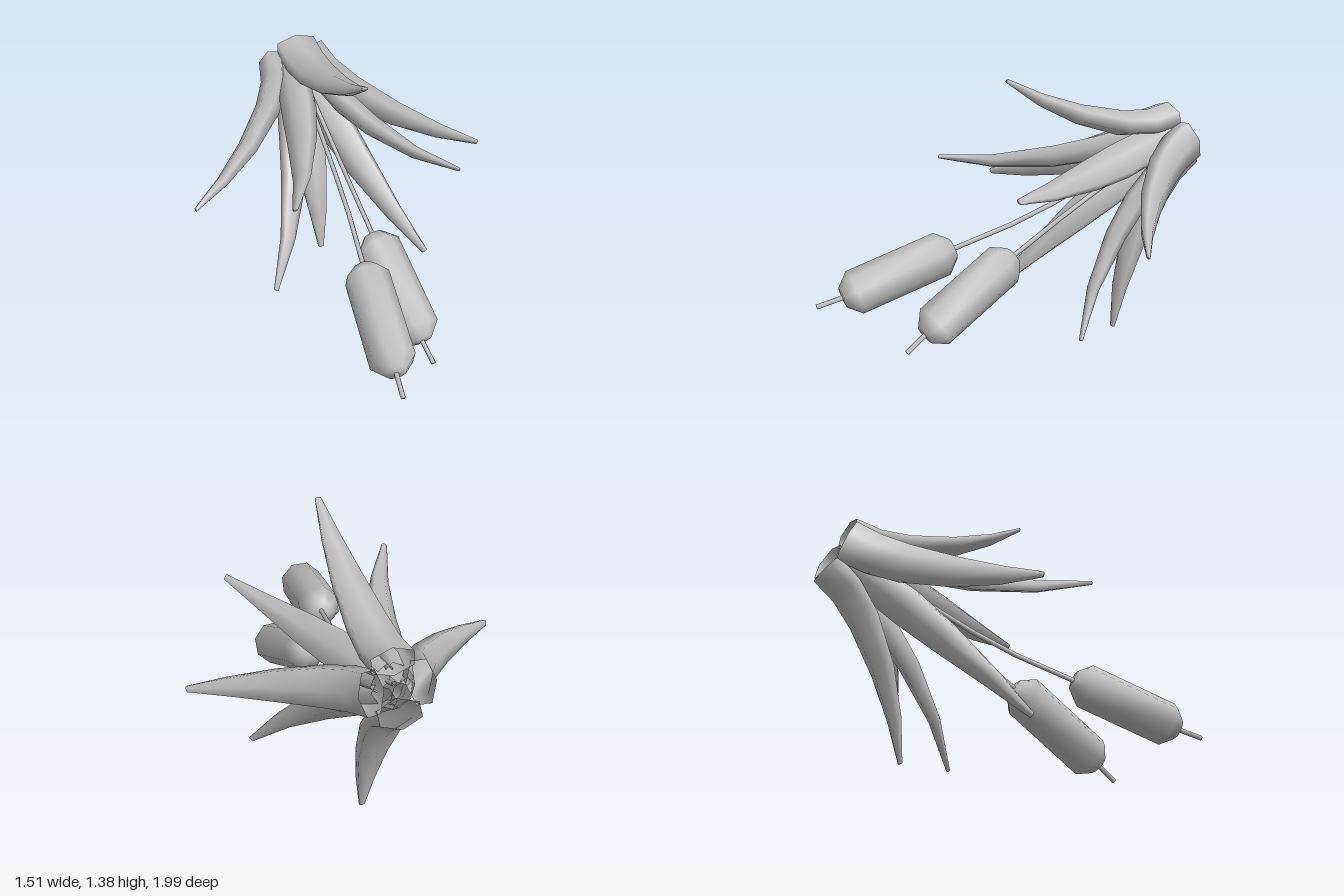
import * as THREE from 'three';

const V = (x, y, z) => new THREE.Vector3(x, y, z);

// Sweeps a polygon along points; each ring has a half-width and a depth ratio.
function loft(points, widths, depth, sides, turn = 0) {
  const pos = [], index = [], last = points.length - 1;
  points.forEach((p, i) => {
    const t = points[Math.min(i + 1, last)].clone().sub(points[Math.max(i - 1, 0)]).normalize();
    const n = t.clone().cross(V(1, 0, 0)).normalize();
    const s = n.clone().cross(t);
    for (let j = 0; j < sides; j++) {
      const a = turn + (j / sides) * Math.PI * 2;
      const v = p.clone()
        .addScaledVector(s, Math.cos(a) * widths[i])
        .addScaledVector(n, Math.sin(a) * widths[i] * depth);
      pos.push(v.x, v.y, v.z);
      if (i < last) {
        const k = i * sides + j, m = i * sides + (j + 1) % sides;
        index.push(k, m, k + sides, m, m + sides, k + sides);
      }
    }
  });
  const g = new THREE.BufferGeometry();
  g.setAttribute('position', new THREE.Float32BufferAttribute(pos, 3));
  g.setIndex(index);
  g.computeVertexNormals();
  return g;
}

export function createModel() {
  const model = new THREE.Group();
  model.name = 'reedPlant';
  const grey = new THREE.MeshStandardMaterial({ color: 0xc0c0c0, side: THREE.DoubleSide });
  grey.name = 'plainGrey';

  const add = (parent, name, geometry) => {
    const mesh = new THREE.Mesh(geometry, grey);
    mesh.name = name;
    parent.add(mesh);
    return mesh;
  };

  // Rosette of eight hollow leaves, spreading outer ones and upright inner ones,
  // around an axis that leans forward and down. Profiles are [out, along].
  const kinds = [
    {
      name: 'spreadingLeaf',
      profile: [[0.115, 0], [0.15, 0.13], [0.232, 0.27], [0.4, 0.46], [0.58, 0.615], [0.752, 0.732], [0.755, 0.735]],
      widths: [0.113, 0.111, 0.105, 0.082, 0.05, 0.016, 0],
    },
    {
      name: 'uprightLeaf',
      profile: [[0.06, 0.05], [0.107, 0.2], [0.17, 0.4], [0.258, 0.6], [0.41, 0.86], [0.58, 1.067], [0.582, 1.07]],
      widths: [0.072, 0.095, 0.1, 0.085, 0.05, 0.016, 0],
    },
  ];
  const rosette = new THREE.Group();
  rosette.name = 'leafRosette';
  rosette.position.set(0, 0.99, -0.9);
  rosette.rotation.x = 1.993;
  for (let i = 0; i < 8; i++) {
    const { name, profile, widths } = kinds[i % 2];
    const path = profile.map(([out, along]) => V(0, along, out));
    const leaf = add(rosette, name, loft(path, widths, 0.6, 6, Math.PI / 6));
    leaf.rotation.y = (i * Math.PI) / 4;
  }
  model.add(rosette);

  // Two seed heads, each on a thin stem that pokes out at the tip
  const reeds = [
    {
      name: 'longReed', back: V(-0.105, 0.552, 0.317), front: V(-0.177, 0.38, 0.875), tip: V(-0.198, 0.35, 0.998),
      stem: [V(0, 1, -0.88), V(-0.04, 0.718, -0.2), V(-0.06, 0.64, 0.02)],
    },
    {
      name: 'shortReed', back: V(0.045, 0.518, 0.07), front: V(0.092, 0.225, 0.575), tip: V(0.107, 0.163, 0.675),
      stem: [V(0.005, 1, -0.88), V(0.03, 0.66, -0.2)],
    },
  ];
  for (const { name, back, front, tip, stem } of reeds) {
    const reed = new THREE.Group();
    reed.name = name;
    const path = [...stem, back, front, tip, tip.clone().add(V(0, 0, 0.001))];
    add(reed, 'stem', loft(path, path.map((p, i) => (i === path.length - 1 ? 0 : 0.012)), 1, 6));
    const headPath = [0, 0.005, 0.11, 0.89, 0.995, 1].map((t) => back.clone().lerp(front, t));
    add(reed, 'seedHead', loft(headPath, [0, 0.052, 0.11, 0.11, 0.052, 0], 1, 8, Math.PI / 8));
    model.add(reed);
  }
  return model;
}
